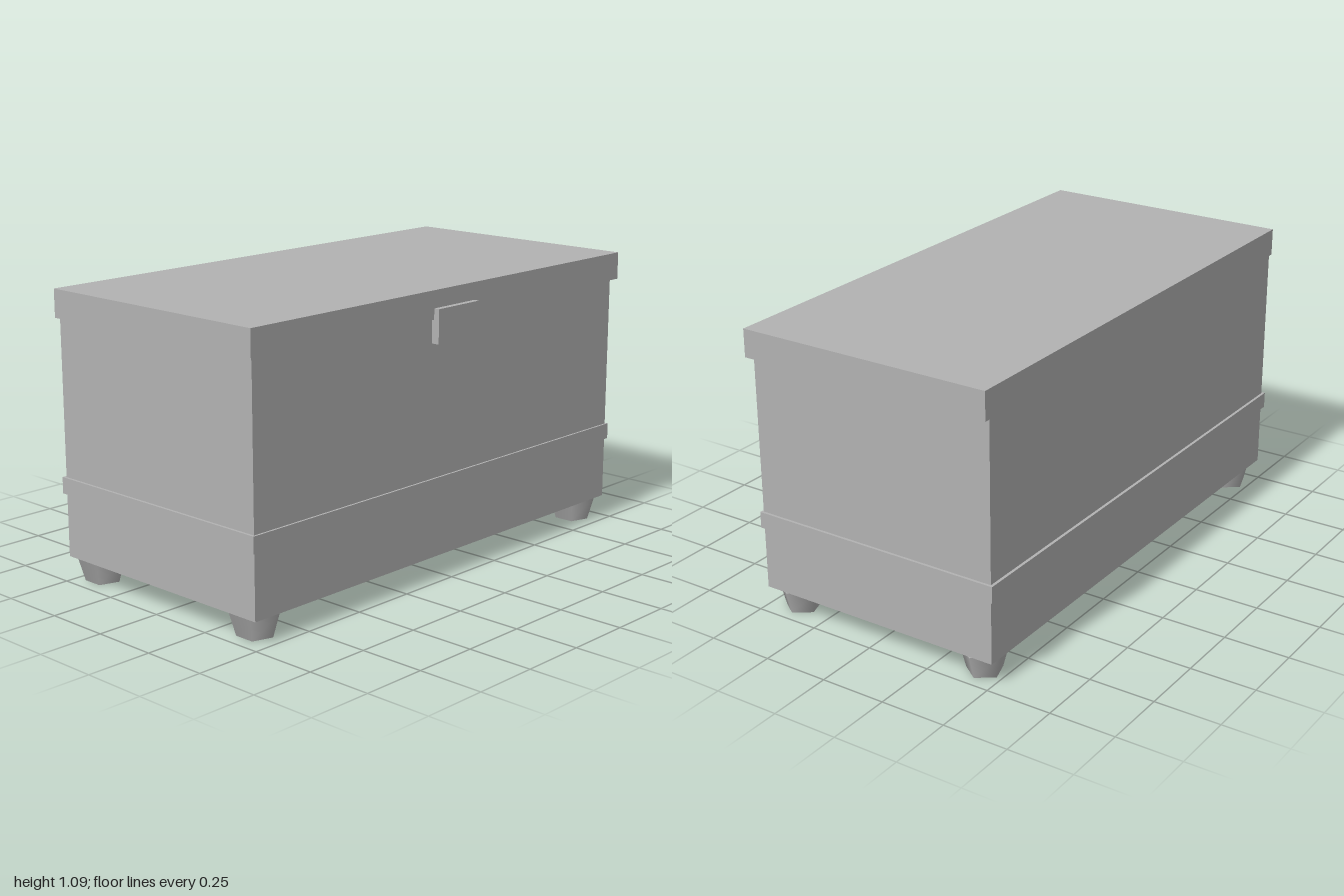
import * as THREE from 'three';

export function createModel() {
  const chest = new THREE.Group();
  chest.name = 'chest';
  const grey = new THREE.MeshStandardMaterial({ color: 0xb2b2b2 });
  grey.name = 'plain grey';

  // Box given by its [min, max] range on each axis
  const addBox = (name, [x0, x1], [y0, y1], [z0, z1]) => {
    const mesh = new THREE.Mesh(new THREE.BoxGeometry(x1 - x0, y1 - y0, z1 - z0), grey);
    mesh.position.set((x0 + x1) / 2, (y0 + y1) / 2, (z0 + z1) / 2);
    mesh.name = name;
    chest.add(mesh);
  };

  // Lid is flush with the body at the back and overhangs elsewhere
  addBox('body', [-0.978, 0.978], [0.09, 0.983], [-0.504, 0.475]);
  addBox('lid', [-1, 1], [0.983, 1.088], [-0.504, 0.495]);
  addBox('band', [-0.988, 0.988], [0.33, 0.392], [-0.515, 0.483]);
  addBox('latch', [-0.11, 0.11], [0.896, 1.023], [0.485, 0.517]);

  // Tapered five-sided feet, one corner pointing to +x
  const footGeometry = new THREE.CylinderGeometry(0.092, 0.0665, 0.09, 5, 1, false, Math.PI / 2);
  for (const x of [-0.893, 0.893]) {
    for (const z of [-0.417, 0.387]) {
      const foot = new THREE.Mesh(footGeometry, grey);
      foot.position.set(x, 0.045, z);
      foot.name = `${z > 0 ? 'front' : 'back'}${x > 0 ? 'Left' : 'Right'}Foot`;
      chest.add(foot);
    }
  }
  return chest;
}
